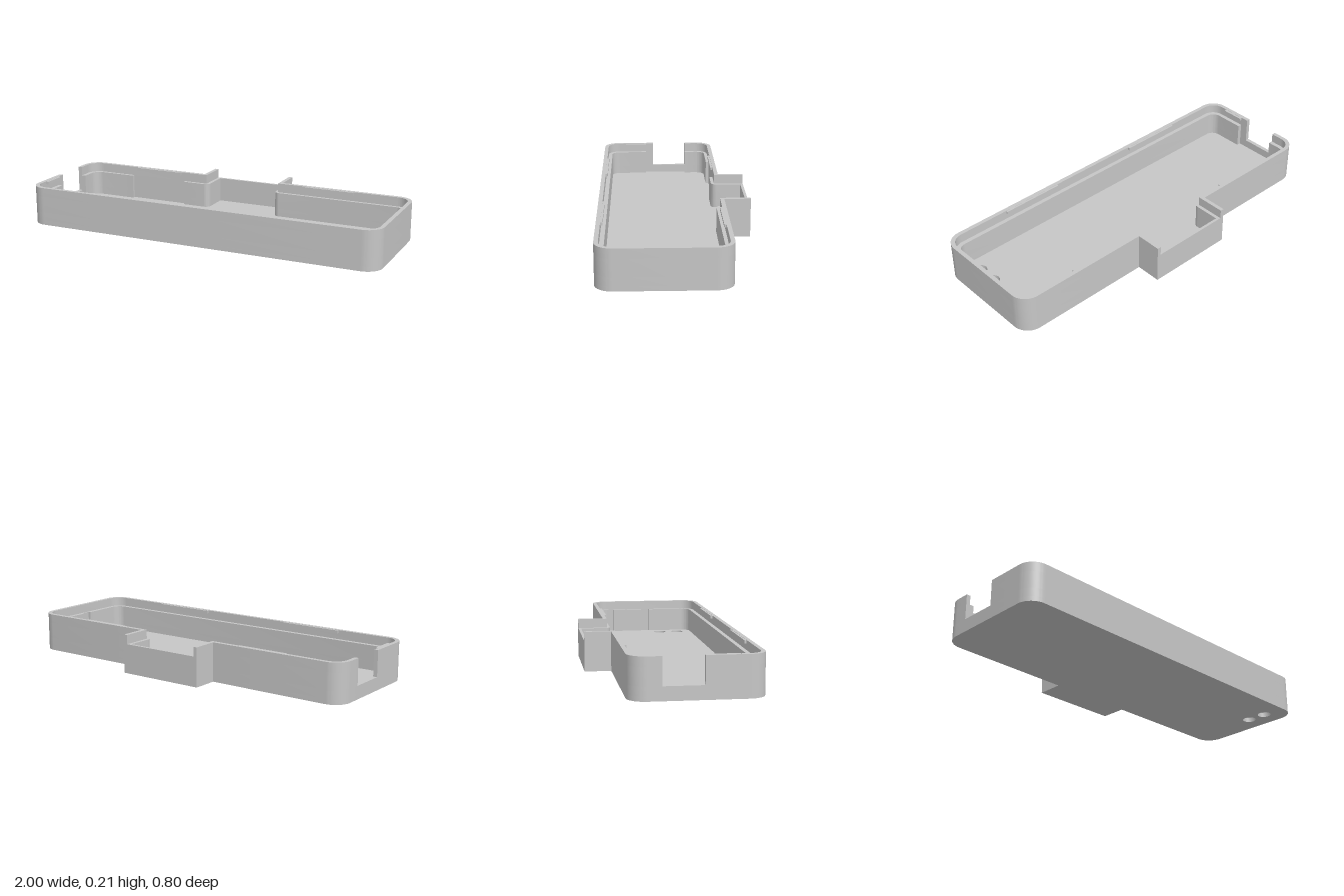
import * as THREE from 'three';
import { toCreasedNormals } from 'three/addons/utils/BufferGeometryUtils.js';

const FLOOR = 0.025, SILL = 0.07, LEDGE = 0.16, TOP = 0.21;

// Closed shape through [x, z, cornerRadius] points
function outline(points, Type = THREE.Shape) {
  const shape = new Type();
  const n = points.length;
  points.forEach(([x, z, r = 0], i) => {
    const p = new THREE.Vector2(x, -z);
    const toward = (q) => new THREE.Vector2(q[0], -q[1]).sub(p).normalize().multiplyScalar(r).add(p);
    const a = toward(points[(i + n - 1) % n]);
    const b = toward(points[(i + 1) % n]);
    if (i === 0) shape.moveTo(a.x, a.y); else shape.lineTo(a.x, a.y);
    if (r > 0) {
      // circular fillet of a right-angle corner
      const c = a.clone().add(b).sub(p);
      const start = Math.atan2(a.y - c.y, a.x - c.x);
      const end = Math.atan2(b.y - c.y, b.x - c.x);
      const turn = Math.atan2(Math.sin(end - start), Math.cos(end - start));
      shape.absarc(c.x, c.y, r, start, start + turn, turn < 0);
    }
  });
  shape.closePath();
  return shape;
}

export function createModel() {
  const group = new THREE.Group();
  const grey = new THREE.MeshStandardMaterial({ color: 0xc6c6c6 });
  grey.name = 'light grey plastic';

  // Extrude a plan shape from height y0 to y1
  function slab(name, shape, y0, y1) {
    const geo = new THREE.ExtrudeGeometry(shape, { depth: y1 - y0, bevelEnabled: false, curveSegments: 10 });
    geo.rotateX(-Math.PI / 2);
    geo.translate(0, y0, 0);
    const mesh = new THREE.Mesh(toCreasedNormals(geo, 0.5), grey);
    mesh.name = name;
    group.add(mesh);
  }

  // Outer edge, from the cable notch round the front to the back bay and home
  const outerFront = [[-1, 0.1], [-1, 0.4, 0.09], [1, 0.4, 0.09], [1, -0.26, 0.09], [0.243, -0.26], [0.243, -0.4]];
  const outerBack = [[-0.243, -0.4], [-0.243, -0.26], [-1, -0.26, 0.09], [-1, -0.1]];
  const outer = [...outerFront, ...outerBack];

  // Inner edge of the thick lower wall, with its shallow recesses
  const inner = [
    [-0.978, 0.1], [-0.978, 0.145], [-0.955, 0.145], [-0.955, 0.355, 0.05],
    [0.955, 0.355, 0.05], [0.955, 0.1], [0.97, 0.1], [0.97, 0.05], [0.955, 0.05],
    [0.955, -0.125], [0.97, -0.125], [0.97, -0.17], [0.955, -0.17],
    [0.955, -0.22, 0.05], [0.203, -0.22, 0.03], [0.203, -0.385], [-0.203, -0.385],
    [-0.203, -0.22, 0.03], [-0.36, -0.22], [-0.36, -0.238], [-0.7, -0.238], [-0.7, -0.22],
    [-0.955, -0.22, 0.05], [-0.955, -0.1], [-0.978, -0.1],
  ];

  // Floor with two round holes
  const floor = outline(outer);
  for (const z of [0.16, 0.27]) {
    const hole = new THREE.Path();
    hole.absarc(0.885, -z, 0.037, 0, Math.PI * 2);
    floor.holes.push(hole);
  }
  slab('floor', floor, 0, FLOOR);

  // Continuous wall below the notch sill
  const base = outline(outer);
  base.holes.push(outline(inner, THREE.Path));
  slab('lowerWall', base, FLOOR, SILL);

  // Wall beside the notch, up to the ledge
  slab('notchedWall', outline([...outer, ...[...inner].reverse()]), SILL, LEDGE);

  // Thin lip above the ledge, open at the notch and the back bay
  slab('frontLip', outline([
    ...outerFront, [0.222, -0.4], [0.222, -0.238],
    [0.978, -0.238, 0.07], [0.978, 0.378, 0.07], [-0.978, 0.378, 0.07], [-0.978, 0.1],
  ]), LEDGE, TOP);
  slab('backLip', outline([
    ...outerBack, [-0.978, -0.1], [-0.978, -0.238, 0.07], [-0.222, -0.238], [-0.222, -0.4],
  ]), LEDGE, TOP);

  // Snap ridges along the inside of the lip: [x0, x1, z]
  const ridges = [[-0.615, -0.265, 0.373], [0.265, 0.615, 0.373], [-0.67, -0.385, -0.233], [0.385, 0.665, -0.233]];
  for (const [x0, x1, z] of ridges) {
    const ridge = new THREE.Mesh(new THREE.BoxGeometry(x1 - x0, 0.015, 0.012), grey);
    ridge.position.set((x0 + x1) / 2, TOP - 0.0085, z);
    ridge.name = 'snapRidge';
    group.add(ridge);
  }

  // Short ridge on the lip beside the notch
  const endRidge = new THREE.Mesh(new THREE.BoxGeometry(0.018, 0.015, 0.125), grey);
  endRidge.position.set(-0.972, TOP - 0.0085, 0.2075);
  endRidge.name = 'endSnapRidge';
  group.add(endRidge);
  return group;
}
